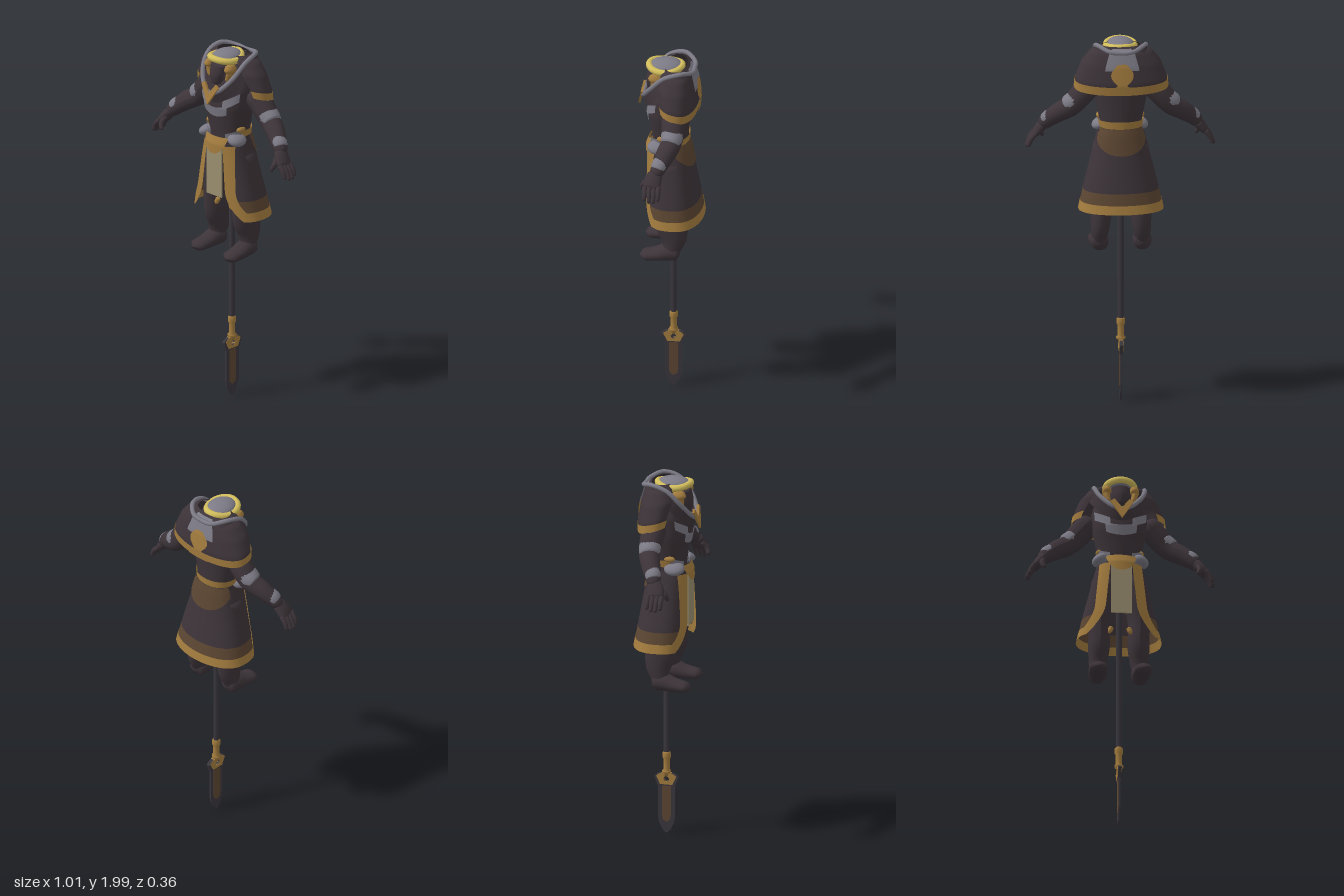
import * as THREE from 'three';

const V = (x, y, z) => new THREE.Vector3(x, y, z);
const paint = (name, color) => new THREE.MeshStandardMaterial({ name, color, side: THREE.DoubleSide });

// Smooth surface over a (u, v) grid
function grid(nu, nv, f) {
  const pos = [], idx = [];
  for (let j = 0; j <= nv; j++) for (let i = 0; i <= nu; i++) pos.push(...f(i / nu, j / nv).toArray());
  for (let j = 0; j < nv; j++) for (let i = 0; i < nu; i++) {
    const a = j * (nu + 1) + i, b = a + 1, c = a + nu + 1, d = c + 1;
    idx.push(a, b, d, a, d, c);
  }
  const g = new THREE.BufferGeometry();
  g.setAttribute('position', new THREE.Float32BufferAttribute(pos, 3));
  g.setIndex(idx);
  g.computeVertexNormals();
  return g;
}

// Round-ended limb through [x, y, z, radius, depthRadius] stations
function loft(st, ref = V(0, 0, 1), round = 0.08, nu = 18, nv = 22) {
  const path = new THREE.CatmullRomCurve3(st.map(p => V(p[0], p[1], p[2])));
  const radii = new THREE.CatmullRomCurve3(st.map(p => V(p[3], p[4] ?? p[3], 0)));
  return grid(nu, nv, (u, v) => {
    const t = path.getTangent(v), b = t.clone().cross(ref).normalize(), n = b.clone().cross(t);
    const r = radii.getPoint(v), a = u * Math.PI * 2;
    const e = Math.sqrt(Math.min(1, Math.max(0.0001, Math.min(v, 1 - v) / round)));
    return path.getPoint(v).addScaledVector(b, Math.sin(a) * r.x * e).addScaledVector(n, Math.cos(a) * r.y * e);
  });
}

// Oval shell from [y, halfWidth, frontZ, backZ] rows; angle 0 is the front
function shell(rows) {
  return (a, y, off = 0) => {
    let i = 0;
    while (i < rows.length - 2 && y > rows[i + 1][0]) i++;
    const k = (y - rows[i][0]) / (rows[i + 1][0] - rows[i][0]);
    const [w, f, b] = [1, 2, 3].map(n => rows[i][n] + (rows[i + 1][n] - rows[i][n]) * k);
    const c = Math.cos(a), cc = Math.sign(c) * Math.abs(c) ** 0.8;
    return V((w + off) * Math.sin(a), y, (f + b) / 2 + ((f - b) / 2 + off) * cc);
  };
}
// Patch of a shell; f maps (u, v) to [angle, y]
const patch = (P, off, f, nu = 32, nv = 14) => grid(nu, nv, (u, v) => P(...f(u, v), off));
const area = (a0, a1, y0, y1) => (u, v) => [a0 + (a1 - a0) * u, y0 + (y1 - y0) * v];

export function createModel() {
  const root = new THREE.Group();
  const dark = paint('darkCloth', 0x3d3439), grey = paint('greyPlate', 0x7c7a85);
  const gold = paint('gold', 0xa37c3e), brown = paint('brownTrim', 0x5c4632);
  const pale = paint('paleGold', 0xd2bd5c), tan = paint('tanCloth', 0x9a8f6f), steel = paint('darkSteel', 0x39363c);
  const add = (name, geo, mat, x = 0, y = 0, z = 0) => {
    const m = new THREE.Mesh(geo, mat);
    m.name = name; m.position.set(x, y, z); root.add(m);
    return m;
  };
  const ball = (name, mat, p, r) => {
    const m = add(name, new THREE.SphereGeometry(1, 24, 16), mat, ...p);
    m.scale.set(...r);
    return m;
  };
  const PI = Math.PI;

  // Torso and chest armour
  const torso = shell([[1.44, .11, .1, -.085], [1.52, .105, .1, -.085], [1.62, .125, .115, -.09],
    [1.7, .142, .13, -.095], [1.8, .15, .12, -.1], [1.9, .12, .09, -.09], [1.95, .07, .05, -.06]]);
  add('torso', patch(torso, 0, area(-PI, PI, 1.44, 1.95), 36, 24), dark);
  add('breastPlate', patch(torso, .008, (u, v) => {
    const a = -.6 + 1.2 * u;
    return [a, 1.645 + .055 * v + .06 * a * a];
  }), grey);
  add('belt', patch(torso, .008, area(1, 2 * PI - 1, 1.525, 1.565)), gold);

  // Coat skirt with an open front, border and hem
  const skirt = shell([[1.075, .225, .14, -.172], [1.2, .198, .14, -.15], [1.49, .125, .13, -.1], [1.53, .11, .115, -.09]]);
  const width = y => .225 - .1 * (y - 1.075) / .415;
  const edge = (y, extra) => {
    const t = Math.max(0, (1.49 - y) / .415);
    const x = .055 + .04 * t + .085 * (Math.max(0, t - .6) / .4) ** 2 + extra;
    return Math.asin(Math.min(.97, x / width(y)));
  };
  const coat = (y0, y1, extra) => (u, v) => {
    const y = y0 + (y1 - y0) * v, a = edge(y, extra);
    return [a + (2 * PI - 2 * a) * u, y];
  };
  add('coatSkirt', patch(skirt, 0, coat(1.185, 1.5, .045), 48), dark);
  add('coatBand', patch(skirt, 0, coat(1.12, 1.185, .045), 48, 4), brown);
  add('coatHem', patch(skirt, .002, coat(1.075, 1.123, 0), 48, 6), gold);
  add('coatBackPanel', patch(skirt, .005, (u, v) => {
    const a = -1.25 + 2.5 * u, low = 1.385 + .08 * (a / 1.25) ** 2;
    return [PI + a, low + (1.525 - low) * v];
  }), brown);
  add('beltBuckle', patch(skirt, .01, (u, v) => {
    const a = -.7 + 1.4 * u, low = 1.435 + .085 * (a / .7) ** 2;
    return [a, low + (1.53 - low) * v];
  }), gold);
  add('tabard', new THREE.BoxGeometry(.112, .29, .008), tan, 0, 1.335, .125);

  // Shoulder mantle, a little longer at the back, its front edges sweeping outward
  const oval = shell([[1.74, .247, .075, -.138], [1.79, .243, .08, -.142], [1.88, .21, .085, -.13],
    [1.95, .16, .065, -.11], [1.978, .1, .04, -.08]]);
  const mantle = (a, y, off) => {
    const p = oval(a, y, off);
    p.y += .27 * (p.z + .11) * (1.978 - y) / .238;
    return p;
  };
  const cape = (y0, y1) => (u, v) => {
    const y = y0 + (y1 - y0) * v, a = .6 + .35 * (1.978 - y) / .24;
    return [a + (2 * PI - 2 * a) * u, y];
  };
  add('mantle', patch(mantle, 0, cape(1.775, 1.978), 48, 18), dark);
  add('mantleTrim', patch(mantle, .004, cape(1.735, 1.78), 48, 4), gold);
  add('mantleBackPlate', patch(mantle, .008, area(PI - .42, PI + .42, 1.865, 1.972)), grey);
  add('mantleCrest', patch(mantle, .011, (u, v) => {
    const w = .1 + .16 * Math.abs(Math.cos(v * 1.5 * PI));
    return [PI - w + 2 * w * u, 1.74 + .16 * v];
  }, 8, 24), gold);

  // Collar wall with a rim, rising behind the neck and meeting at the chest
  const half = [[.065, 1.962, -.112], [.122, 1.98, -.055], [.134, 1.955, .03], [.112, 1.88, .1], [.05, 1.805, .148]];
  const rim = new THREE.CatmullRomCurve3([V(0, 1.955, -.118), ...half.map(p => V(...p)), V(0, 1.785, .158),
    ...half.slice().reverse().map(p => V(-p[0], p[1], p[2]))], true);
  add('collarRim', new THREE.TubeGeometry(rim, 72, .0125, 8, true), grey);
  add('collarWall', grid(64, 4, (u, v) => {
    const p = rim.getPoint(u), k = v * Math.min(1, Math.max(0, (p.z + .11) / .06));
    return V(p.x * (1 + .25 * k), p.y - .06 * k, p.z - .02 * k);
  }), dark);
  const vee = new THREE.Shape([[-.062, .035], [0, -.07], [.062, .035], [.04, .05], [0, -.005], [-.04, .05]]
    .map(p => new THREE.Vector2(...p)));
  add('chestPendant', new THREE.ExtrudeGeometry(vee, { depth: .012, bevelEnabled: false }), gold, 0, 1.79, .158).rotation.x = -.2;

  // Head with domed cap and gently arched brim
  ball('head', dark, [0, 1.875, .035], [.074, .085, .086]);
  add('faceMask', loft([[0, 1.94, .09, .05, .035], [0, 1.88, .1, .045, .04], [0, 1.82, .105, .025, .03]]), dark);
  ball('capDome', grey, [0, 1.96, .033], [.074, .04, .092]);
  const brim = Array.from({ length: 16 }, (_, i) => {
    const a = i * PI / 8, c = Math.cos(a);
    return V(.075 * Math.sin(a) * (1 + .1 * c), 1.956 + .012 * c * c, .036 + .088 * c);
  });
  add('capBrim', new THREE.TubeGeometry(new THREE.CatmullRomCurve3(brim, true), 64, .018, 10, true), pale);

  for (const s of [1, -1]) {
    const side = s > 0 ? 'left' : 'right';
    const arm = (name, pts, mat, ref, round) => add(side + name, loft(pts.map(([x, ...r]) => [s * x, ...r]), ref, round), mat);

    // Cheek guard, chest plate and hip guard
    arm('CheekGuard', [[.068, 1.945, .08, .018, .028], [.075, 1.9, .082, .018, .028], [.06, 1.845, .09, .012, .018]], gold);
    add(side + 'ChestPlate', patch(torso, .008, (u, v) => {
      const a = .4 + .7 * u;
      return [s * a, 1.695 + .05 * v + .05 * u];
    }), grey);
    add(side + 'CoatBorder', patch(skirt, .004, (u, v) => {
      const y = 1.075 + .41 * v, a = edge(y, 0), b = edge(y, .054);
      return [s * (a + (b - a) * u), y];
    }, 6, 24), gold);
    add(side + 'HipBelt', patch(torso, .013, (u, v) => [s * (.5 + .8 * u), 1.51 + .03 * u + .04 * v], 12, 4), grey);
    ball(side + 'HipGuard', grey, [s * .107, 1.52, .065], [.046, .03, .056]).rotation.z = -s * .45;
    ball(side + 'HipClasp', gold, [s * .112, 1.572, .04], [.016, .016, .03]);

    // Arm with elbow and wrist guards
    arm('Arm', [[.13, 1.8, -.02, .065], [.2, 1.72, -.03, .064], [.265, 1.645, -.028, .056],
      [.325, 1.605, -.005, .052], [.385, 1.555, .025, .042], [.425, 1.51, .045, .03]], dark);
    arm('ElbowGuard', [[.225, 1.698, -.03, .05, .06], [.262, 1.664, -.028, .052, .058], [.305, 1.638, -.017, .042, .046]], grey, undefined, .2);
    arm('WristGuard', [[.35, 1.597, .008, .034, .038], [.382, 1.57, .022, .038, .042], [.412, 1.542, .036, .028, .032]], grey, undefined, .2);

    // Hand with four fingers and a thumb
    arm('Palm', [[.4, 1.54, .035, .028, .036], [.43, 1.5, .05, .027, .046], [.46, 1.462, .056, .018, .046]], dark, undefined, .15);
    for (let i = 0; i < 4; i++) {
      const z = .018 + i * .024, d = i % 3 ? 0 : .01;
      arm('Finger' + (i + 1), [[.45, 1.48, z, .014], [.476, 1.445, z, .013], [.5 - d, 1.398 + d, z, .01]], dark);
    }
    arm('Thumb', [[.41, 1.51, .07, .015], [.42, 1.475, .1, .014], [.405, 1.44, .114, .01]], dark);

    // Leg and boot
    arm('Leg', [[.075, 1.46, .005, .065, .08], [.095, 1.3, .005, .068, .085], [.105, 1.18, .005, .056, .08],
      [.105, 1.06, -.008, .058, .088], [.11, .97, -.02, .05, .07], [.115, .9, -.01, .042, .046], [.115, .86, -.005, .042, .043]], dark, undefined, .02);
    arm('Boot', [[.112, .884, -.055, .045, .043], [.114, .89, 0, .05, .05], [.118, .876, .07, .05, .037],
      [.122, .866, .16, .046, .026]], dark, V(0, 1, 0), .1);
    arm('KneeClasp', [[.045, 1.14, .05, .014], [.06, 1.1, .055, .012]], gold, undefined, .3);
  }

  // Spear shaft and turned socket
  const axis = -.006;
  add('spearShaft', new THREE.CylinderGeometry(.016, .016, 1.06, 16), steel, 0, .95, axis);
  const socket = [[0, .325], [.014, .325], [.016, .34], [.024, .345], [.024, .357], [.017, .362], [.017, .42],
    [.022, .428], [.022, .455], [.016, .462]].map(p => new THREE.Vector2(...p));
  add('spearSocket', new THREE.LatheGeometry(socket, 20), gold, 0, 0, axis);

  // Spear head, flat across the side plane
  const plate = (name, pts, thick, mat, hole) => {
    const all = [...pts, ...pts.slice().reverse().filter(p => p[0] > 0).map(p => [-p[0], p[1]])];
    const shape = new THREE.Shape(all.map(p => new THREE.Vector2(...p)));
    if (hole) shape.holes.push(new THREE.Path().absarc(0, .31, .015, 0, PI * 2, true));
    const g = new THREE.ExtrudeGeometry(shape, { depth: thick, bevelEnabled: false, curveSegments: 12 });
    add(name, g.translate(0, 0, -thick / 2).rotateY(PI / 2), mat, 0, 0, axis);
  };
  plate('spearBlade', [[0, .008], [.022, .028], [.04, .065], [.047, .1], [.047, .275], [0, .275]], .01, steel);
  plate('bladeInlay', [[0, .07], [.02, .085], [.025, .11], [.025, .275], [0, .275]], .014, brown);
  plate('spearGuard', [[0, .275], [.047, .27], [.066, .322], [.05, .336], [.018, .346], [0, .346]], .018, steel, true);
  plate('guardInlay', [[0, .28], [.034, .28], [.055, .325], [.046, .334], [.018, .348], [0, .348]], .022, gold, true);

  return root;
}
